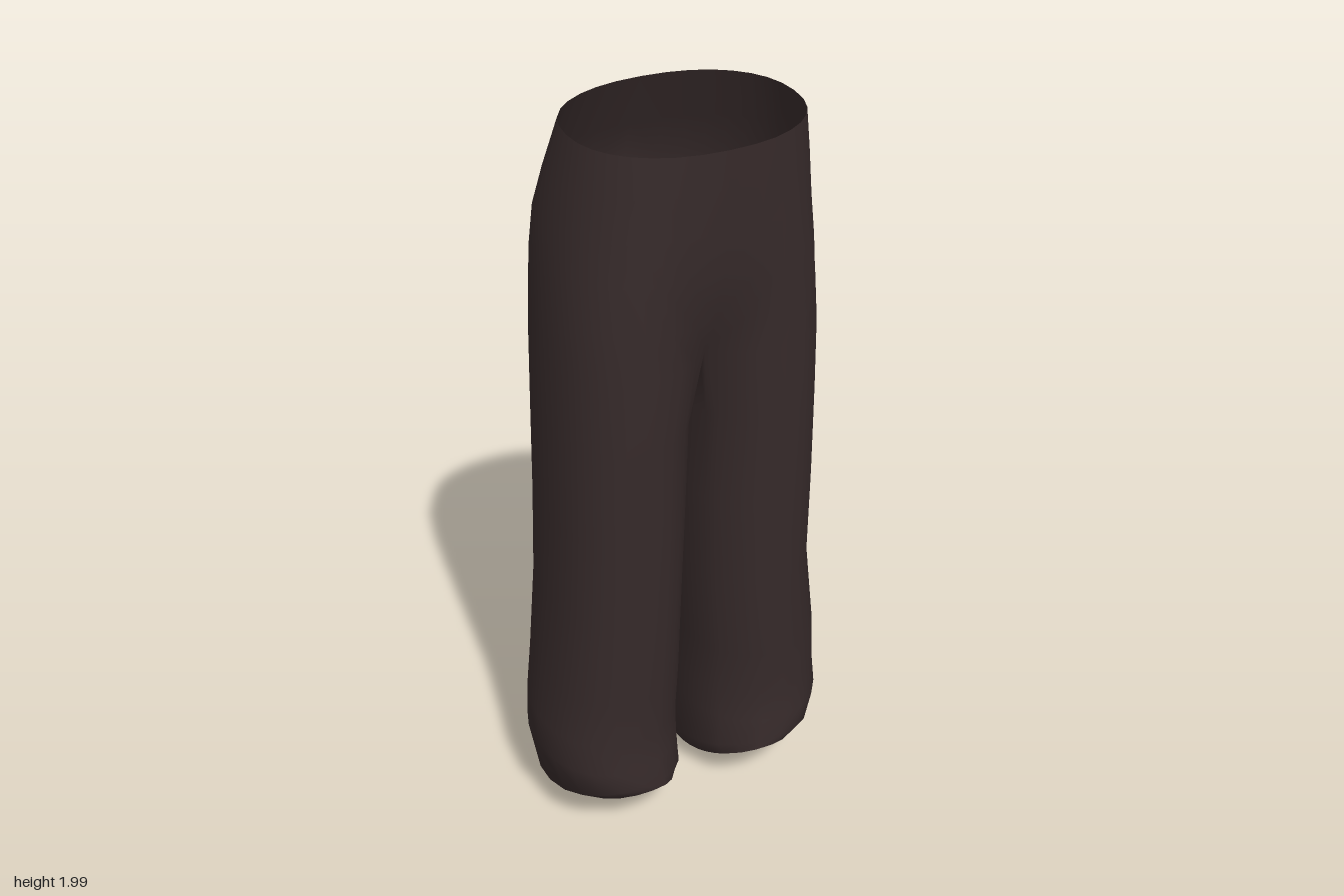
import * as THREE from 'three';
import { mergeVertices, mergeGeometries } from 'three/addons/utils/BufferGeometryUtils.js';

const OUTER = 16; // segments around the outside of each leg
const INNER = 8;  // segments along the inseam
const COUNT = OUTER + INNER;

// Cross-sections: height, centre x, half width, front z, back z, opening angle at the seam
const hips = [
  [1.985, 0, 0.285, 0.255, -0.145, 0],
  [1.87, 0.02, 0.288, 0.253, -0.2, 0],
  [1.77, 0.05, 0.273, 0.25, -0.24, 4],
  [1.67, 0.09, 0.243, 0.247, -0.242, 12],
  [1.55, 0.13, 0.21, 0.243, -0.234, 30],
  [1.44, 0.16, 0.185, 0.239, -0.227, 52],
];
const legs = [
  [1.25, 0.178, 0.172, 0.232, -0.22, 52],
  [1.0, 0.184, 0.172, 0.226, -0.22, 52],
  [0.75, 0.189, 0.172, 0.218, -0.233, 52],
  [0.5, 0.204, 0.181, 0.208, -0.242, 52],
  [0.36, 0.212, 0.187, 0.197, -0.246, 52],
  [0.27, 0.216, 0.189, 0.208, -0.248, 52],
];
const hem = [0, 0.178, 0.125, 0.213, -0.25, 52];

// The hem rises in a curve from heel to instep
const hemHeight = (z) => 0.005 + 0.18 * Math.pow(Math.max(0, (z + 0.25) / 0.463), 1.8);

const soften = (v) => Math.sign(v) * Math.pow(Math.abs(v), 0.9);

function makeRing([y, cx, w, zf, zb, alpha], count, height) {
  const a = THREE.MathUtils.degToRad(alpha);
  const points = [];
  for (let j = 0; j < count; j++) {
    const t = j <= OUTER
      ? -a + (j / OUTER) * (Math.PI + 2 * a)
      : Math.PI + a + ((j - OUTER) / INNER) * (Math.PI - 2 * a);
    const z = (zf + zb) / 2 + ((zf - zb) / 2) * soften(Math.cos(t));
    const x = Math.max(0, cx + w * soften(Math.sin(t)));
    points.push(new THREE.Vector3(x, height ? height(z) : y, z));
  }
  return points;
}

// Rings from waist to hem for one half, on the +x side
function makeHalf(flare) {
  const hipRings = hips.map((row, i) => {
    const ring = makeRing(row, COUNT, i === 0 ? (z) => 1.985 - 0.1 * z : null);
    ring[0].x = ring[OUTER].x = 0;
    if (i === hips.length - 1) for (let j = OUTER; j < COUNT; j++) ring[j].x = 0;
    return ring;
  });
  const legRings = legs.map((row) => makeRing(row, COUNT));
  // Rounded turn between the flared leg and the hem
  legRings.push(makeRing([0, 0.2, 0.177, 0.213, -0.25, 52], COUNT,
    (z) => THREE.MathUtils.lerp(hemHeight(z), 0.26, 0.33)));
  legRings.push(makeRing(hem, COUNT, hemHeight));
  legRings.forEach((ring, i) => {
    if (i > 2) ring.forEach((p) => { p.x += flare; });
  });
  return { hipRings, legRings };
}

function toGeometry(triangles, mirrored) {
  const positions = [];
  for (const [a, b, c] of triangles) {
    for (const p of mirrored ? [a, c, b] : [a, b, c]) {
      positions.push((mirrored ? -p.x : p.x) - 0.01, p.y, p.z);
    }
  }
  const geometry = new THREE.BufferGeometry();
  geometry.setAttribute('position', new THREE.Float32BufferAttribute(positions, 3));
  return geometry;
}

function skin({ hipRings, legRings }, mirrored) {
  const triangles = [];
  const quad = (r, s, j) => {
    const k = (j + 1) % COUNT;
    triangles.push([r[j], s[j], r[k]], [r[k], s[j], s[k]]);
  };
  for (let i = 0; i < hipRings.length - 1; i++) {
    for (let j = 0; j < OUTER; j++) quad(hipRings[i], hipRings[i + 1], j);
  }
  const tube = [hipRings[hipRings.length - 1], ...legRings];
  for (let i = 0; i < tube.length - 1; i++) {
    for (let j = 0; j < COUNT; j++) quad(tube[i], tube[i + 1], j);
  }
  return toGeometry(triangles, mirrored);
}

export function createModel() {
  const group = new THREE.Group();
  group.name = 'trousers';
  const cloth = new THREE.MeshStandardMaterial({ color: 0x362a2a, side: THREE.DoubleSide });
  cloth.name = 'dark brown cloth';

  // Both halves welded along the centre seam
  const left = makeHalf(0.014);
  const right = makeHalf(-0.004);
  const fabric = mergeVertices(mergeGeometries([skin(left, false), skin(right, true)]), 1e-4);
  fabric.computeVertexNormals();
  const trousers = new THREE.Mesh(fabric, cloth);
  trousers.name = 'waistAndLegs';
  group.add(trousers);

  // The right leg is closed at the hem
  const edge = right.legRings[right.legRings.length - 1];
  const middle = new THREE.Vector3(0.178, hemHeight(-0.02), -0.02);
  const fan = edge.map((p, j) => [middle, p, edge[(j + 1) % COUNT]]);
  const capGeometry = mergeVertices(toGeometry(fan, true), 1e-4);
  capGeometry.computeVertexNormals();
  const cap = new THREE.Mesh(capGeometry, cloth);
  cap.name = 'rightHemCap';
  group.add(cap);

  return group;
}
